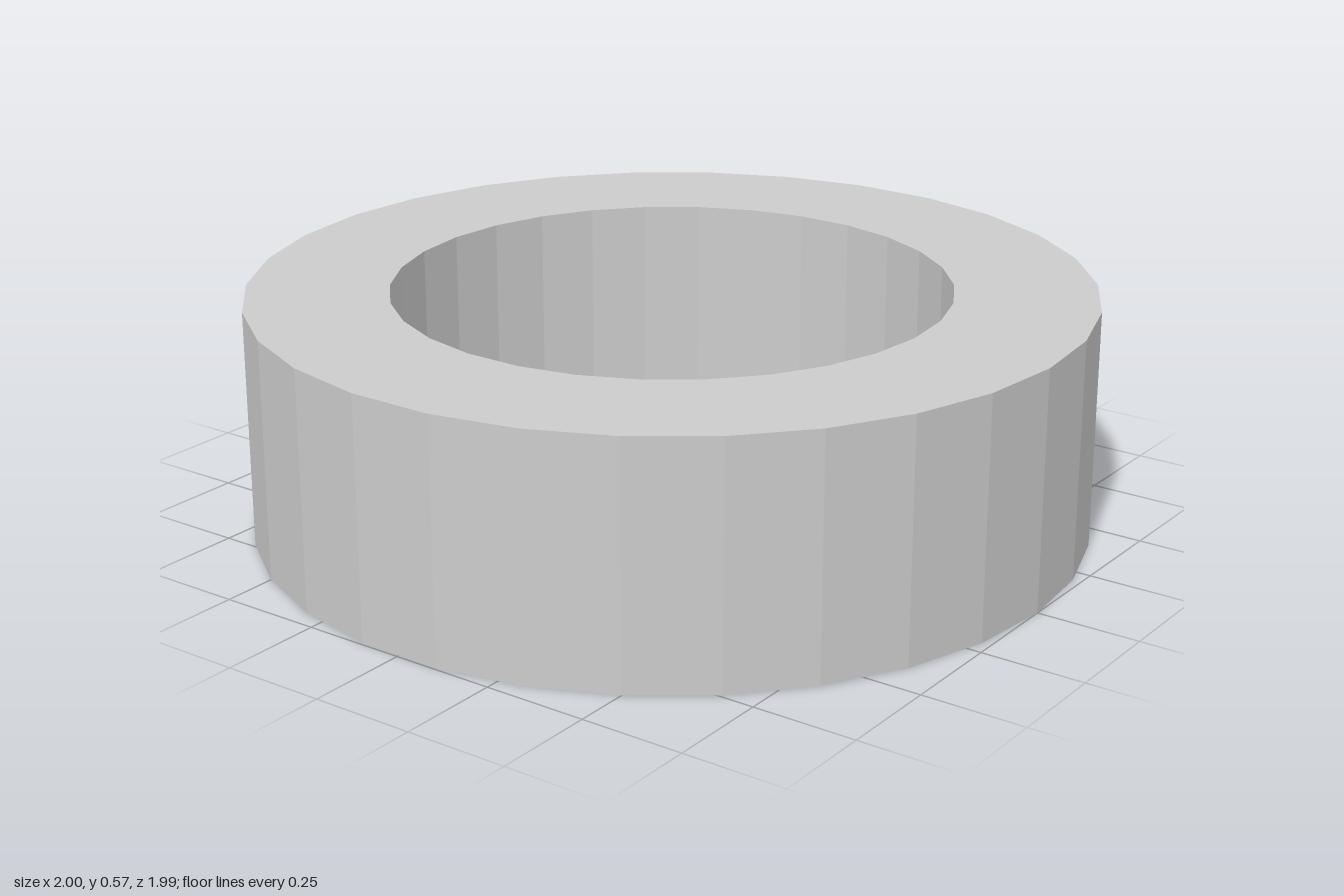
import * as THREE from 'three';

const SIDES = 30;
const STEP = (Math.PI * 2) / SIDES;
const HEIGHT = 0.575;
const LIP = 0.077; // thickness of the retaining lips
const BORE = 0.662, NOTCH = 0.669, LIP_INNER = 0.466;

// Quarter arc along the 30-sided polygon, cut square at 90 degrees (mid-facet)
function quarterArc(radius) {
  const points = [];
  for (let i = 0; i <= 7; i++) {
    points.push(new THREE.Vector2(radius * Math.cos(i * STEP), radius * Math.sin(i * STEP)));
  }
  points.push(new THREE.Vector2(0, radius * Math.cos(STEP / 2)));
  return points;
}

export function createModel() {
  const group = new THREE.Group();
  group.name = 'slottedRing';
  const material = new THREE.MeshStandardMaterial({ color: 0xcccccc, flatShading: true });

  // Ring body: closed section with a slightly wider recess at the foot of the bore
  const profile = [
    [NOTCH, 0], [1, 0], [1, HEIGHT], [BORE, HEIGHT], [BORE, LIP], [NOTCH, LIP], [NOTCH, 0],
  ].map(([r, y]) => new THREE.Vector2(r, y));
  const ring = new THREE.Mesh(new THREE.LatheGeometry(profile, SIDES, Math.PI / 2), material);
  ring.name = 'ringBody';
  group.add(ring);

  // Two opposite quarter lips at the bottom of the bore
  const shape = new THREE.Shape([...quarterArc(NOTCH), ...quarterArc(LIP_INNER).reverse()]);
  const lipGeometry = new THREE.ExtrudeGeometry(shape, { depth: LIP, bevelEnabled: false });
  lipGeometry.rotateX(Math.PI / 2).translate(0, LIP, 0);
  ['frontLip', 'backLip'].forEach((name, i) => {
    const lip = new THREE.Mesh(lipGeometry, material);
    lip.name = name;
    lip.rotation.y = i * Math.PI;
    group.add(lip);
  });

  return group;
}
